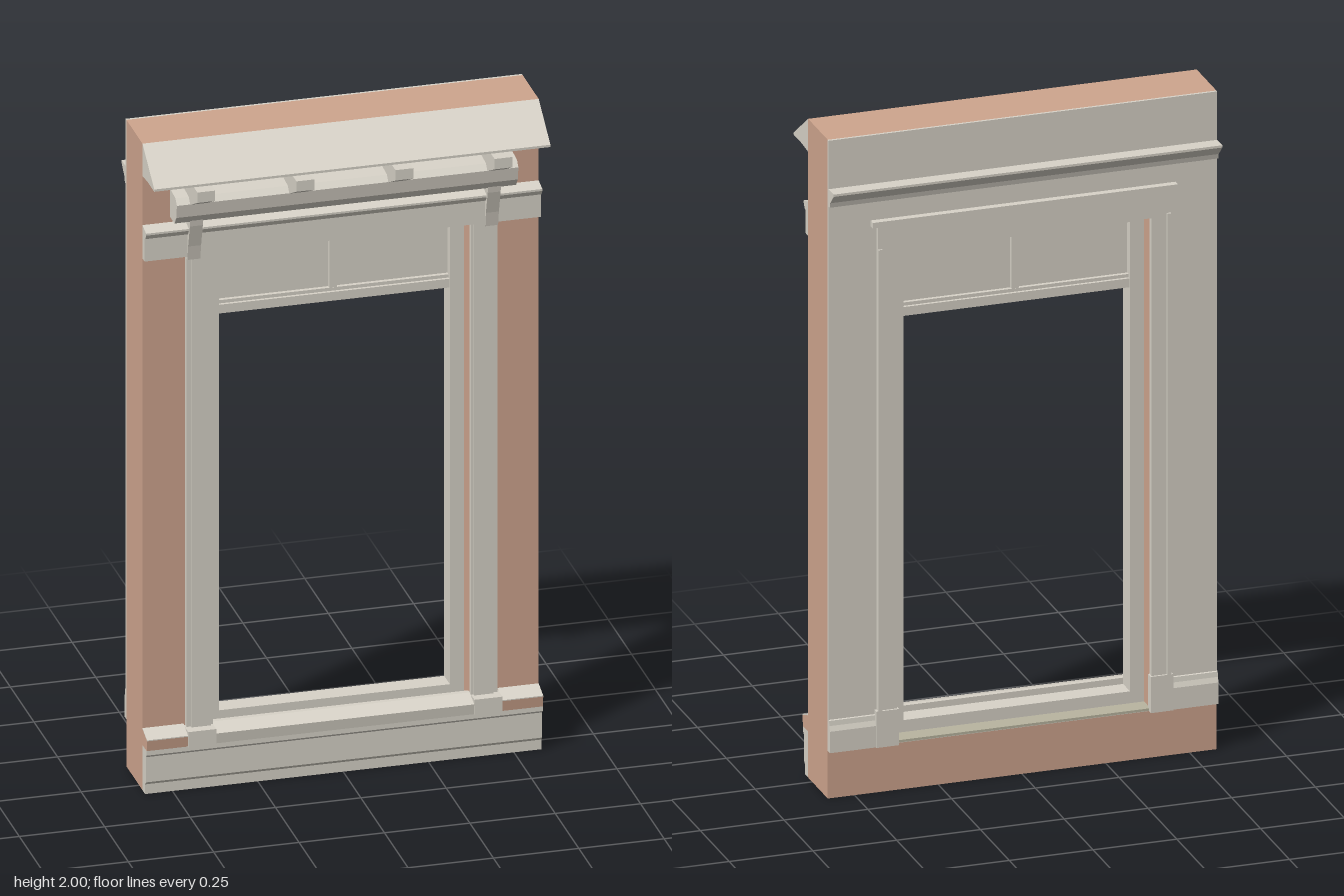
import * as THREE from 'three';

const mat = (name, color) => {
  const m = new THREE.MeshStandardMaterial({ color });
  m.name = name;
  return m;
};

export function createModel() {
  const root = new THREE.Group();
  root.name = 'windowWall';
  const cream = mat('cream paint', 0xd8d3c8);
  const brick = mat('brick', 0xcfa58e);
  const olive = mat('sill olive', 0xb9b5a0);

  const add = (name, geo, material) => {
    const m = new THREE.Mesh(geo, material);
    m.name = name;
    root.add(m);
    return m;
  };
  // box given by its limits
  const box = (name, x0, x1, y0, y1, z0, z1, material = cream) => {
    const g = new THREE.BoxGeometry(x1 - x0, y1 - y0, z1 - z0);
    g.translate((x0 + x1) / 2, (y0 + y1) / 2, (z0 + z1) / 2);
    return add(name, g, material);
  };
  // profile of [z, y] points run along x
  const run = (name, x0, x1, pts, material = cream) => {
    const s = new THREE.Shape(pts.map(([z, y]) => new THREE.Vector2(z, y)));
    const g = new THREE.ExtrudeGeometry(s, { depth: x1 - x0, bevelEnabled: false });
    g.rotateY(-Math.PI / 2);
    g.translate(x1, 0, 0);
    return add(name, g, material);
  };
  // both sides of the model
  const pair = (fn, name, a, b, ...rest) => {
    fn(name + 'Left', a, b, ...rest);
    fn(name + 'Right', -b, -a, ...rest);
  };
  // upright slab with the window opening cut through
  const slab = (name, y0, z0, z1, material) => {
    const s = new THREE.Shape();
    s.moveTo(-W, y0).lineTo(W, y0).lineTo(W, 2).lineTo(-W, 2).closePath();
    const h = new THREE.Path();
    h.moveTo(-0.38, 0.147).lineTo(-0.38, 1.645).lineTo(0.38, 1.645).lineTo(0.38, 0.147).closePath();
    s.holes.push(h);
    const g = new THREE.ExtrudeGeometry(s, { depth: z1 - z0, bevelEnabled: false });
    g.translate(0, 0, z0);
    add(name, g, material);
  };
  const W = 0.58, F = 0.035, B = -0.135;

  // wall and inside plaster
  slab('brickWall', 0, B, F, brick);
  slab('plaster', 0.145, B - 0.008, B, cream);

  // top weathering slope
  run('roofSlope', -W, W, [[F, 1.9], [0.09, 1.905], [0.16, 1.905], [0.16, 1.912], [F, 2]]);

  // hood cornice with its blocks and consoles
  run('hoodCornice', -0.5, 0.5, [[F, 1.765], [0.085, 1.765], [0.1, 1.785], [0.104, 1.79], [0.11, 1.83], [0.095, 1.847], [F, 1.853]]);
  for (const x of [-0.435, -0.145, 0.145, 0.435]) {
    run('corniceBlock', x - 0.026, x + 0.026, [[F, 1.825], [0.108, 1.828], [0.187, 1.868], [0.187, 1.9], [F, 1.9]]);
  }
  pair(run, 'console', 0.417, 0.455, [[F, 1.635], [0.058, 1.635], [0.066, 1.68], [0.085, 1.75], [0.088, 1.77], [F, 1.77]]);

  // frieze band
  run('frieze', -W, W, [[F, 1.645], [0.058, 1.645], [0.058, 1.715], [0.066, 1.718], [0.074, 1.732], [0.074, 1.738], [F, 1.748]]);

  // front pilasters
  pair(box, 'pilaster', 0.385, 0.442, 0.185, 1.645, F, 0.057);
  pair(box, 'pilasterOuterStrip', 0.442, 0.455, 0.185, 1.645, F, 0.05);
  pair(box, 'pilasterInnerBead', 0.378, 0.385, 0.185, 1.645, F, 0.05);
  pair(box, 'pilasterPlinth', 0.378, 0.46, 0.14, 0.187, F, 0.086);

  // front base and sill
  run('base', -W, W, [[F, 0], [0.063, 0], [0.063, 0.03], [0.072, 0.04], [0.072, 0.118], [0.08, 0.126], [0.08, 0.14], [F, 0.14]]);
  pair(run, 'sillEnd', 0.46, W, [[F, 0.14], [0.08, 0.14], [0.084, 0.172], [F, 0.189]], brick);
  pair(run, 'sillEndCap', 0.46, W, [[F, 0.189], [0.084, 0.172], [0.084, 0.175], [F, 0.192]]);
  run('sillNose', -0.378, 0.378, [[F, 0.14], [0.08, 0.14], [0.084, 0.172], [F, 0.188], [0.02, 0.188], [0.02, 0.147]]);
  box('sillFloor', -0.38, 0.38, 0.147, 0.154, B - 0.01, F, olive);

  // window frame
  const z0 = -0.09, z1 = -0.03;
  pair(box, 'frameJamb', 0.338, 0.38, 0.15, 1.645, z0, z1);
  box('frameHead', -0.338, 0.338, 1.615, 1.645, z0, z1);
  box('frameBottom', -0.338, 0.338, 0.15, 0.19, z0, z1);

  // upper light
  box('upperPanel', -0.338, 0.338, 1.44, 1.615, -0.064, -0.056);
  box('mullion', -0.011, 0.011, 1.45, 1.615, -0.075, -0.045);
  box('transomRail', -0.338, 0.338, 1.415, 1.442, -0.085, -0.035);
  box('transomBead', -0.338, 0.338, 1.442, 1.452, -0.076, -0.044);

  // back crown moulding
  run('backCrown', -W, W, [[B, 1.797], [-0.152, 1.8], [-0.156, 1.815], [-0.187, 1.846], [-0.187, 1.853], [B, 1.853]]);

  // back casing
  pair(box, 'backCasing', 0.38, 0.425, 0.25, 1.655, -0.154, B);
  pair(box, 'backCasingEdge', 0.425, 0.437, 0.25, 1.655, -0.16, B);
  box('backHead', -0.437, 0.437, 1.645, 1.725, -0.154, B);
  box('backHeadCap', -0.455, 0.455, 1.725, 1.742, -0.164, B);
  pair(box, 'backPlinth', 0.376, 0.443, 0.145, 0.255, -0.16, B);
  pair(run, 'backBaseboard', 0.443, W, [[B, 0.145], [-0.155, 0.145], [-0.155, 0.21], [-0.149, 0.225], [-0.147, 0.24], [B, 0.245]]);

  return root;
}
